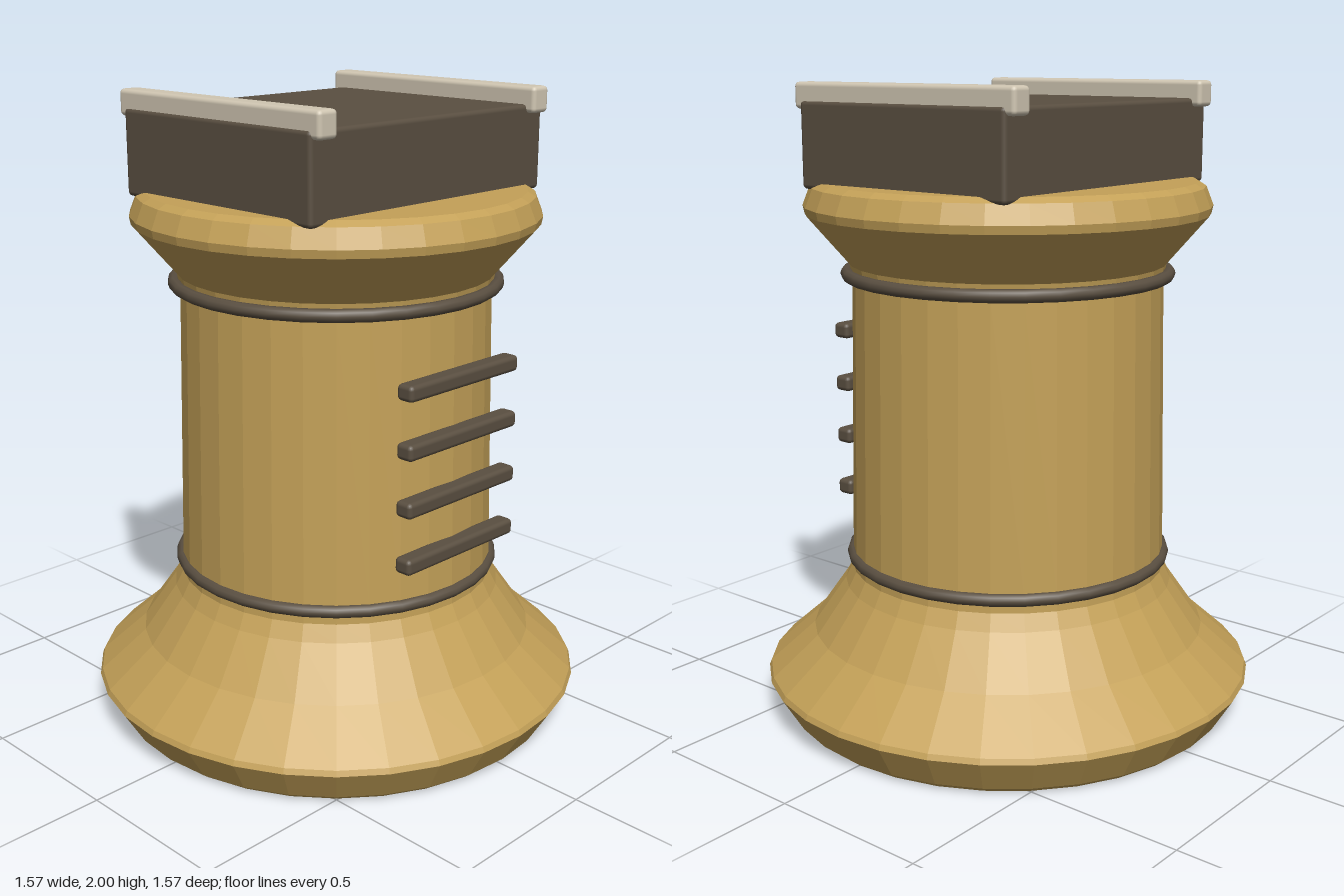
import * as THREE from 'three';
import { RoundedBoxGeometry } from 'three/addons/geometries/RoundedBoxGeometry.js';

const tan = new THREE.MeshStandardMaterial({ name: 'tan', color: 0xc4a158, flatShading: true });
const dark = new THREE.MeshStandardMaterial({ name: 'darkBrown', color: 0x5a4f41 });
const ivory = new THREE.MeshStandardMaterial({ name: 'ivory', color: 0xd0c6b2 });

export function createModel() {
  const model = new THREE.Group();
  model.name = 'tower';

  const add = (name, geometry, material, x = 0, y = 0, z = 0) => {
    const mesh = new THREE.Mesh(geometry, material);
    mesh.name = name;
    mesh.position.set(x, y, z);
    model.add(mesh);
    return mesh;
  };
  const box = (w, h, d, r) => new RoundedBoxGeometry(w, h, d, 2, r);

  // Turned body: flared foot, slightly tapered shaft and flared rim
  const profile = [
    [0, 0], [0.70, 0], [0.722, 0.018], [0.787, 0.125], [0.78, 0.142],
    [0.635, 0.27], [0.53, 0.42], [0.505, 0.47], [0.503, 0.52],
    [0.486, 1.4], [0.495, 1.45], [0.628, 1.605], [0.633, 1.63],
    [0.61, 1.688], [0.585, 1.703], [0, 1.703],
  ].map(([r, y]) => new THREE.Vector2(r, y));
  add('body', new THREE.LatheGeometry(profile, 32), tan);

  // Bands around the shaft
  for (const [name, y] of [['lowerBand', 0.512], ['upperBand', 1.418]]) {
    add(name, new THREE.TorusGeometry(0.503, 0.02, 10, 32), dark, 0, y).rotation.x = Math.PI / 2;
  }

  // Horizontal slats on the front
  for (let i = 0; i < 4; i++) {
    add('slat' + (i + 1), box(0.484, 0.05, 0.06, 0.014), dark, 0, 0.668 + i * 0.177, 0.511);
  }

  // Block on top with a rail along each side
  add('topBlock', box(0.99, 0.262, 0.794, 0.014), dark, 0, 1.815, 0);
  for (const side of [-1, 1]) {
    add(side > 0 ? 'leftRail' : 'rightRail', box(0.072, 0.08, 0.852, 0.014), ivory, side * 0.453, 1.96, 0);
  }

  return model;
}
